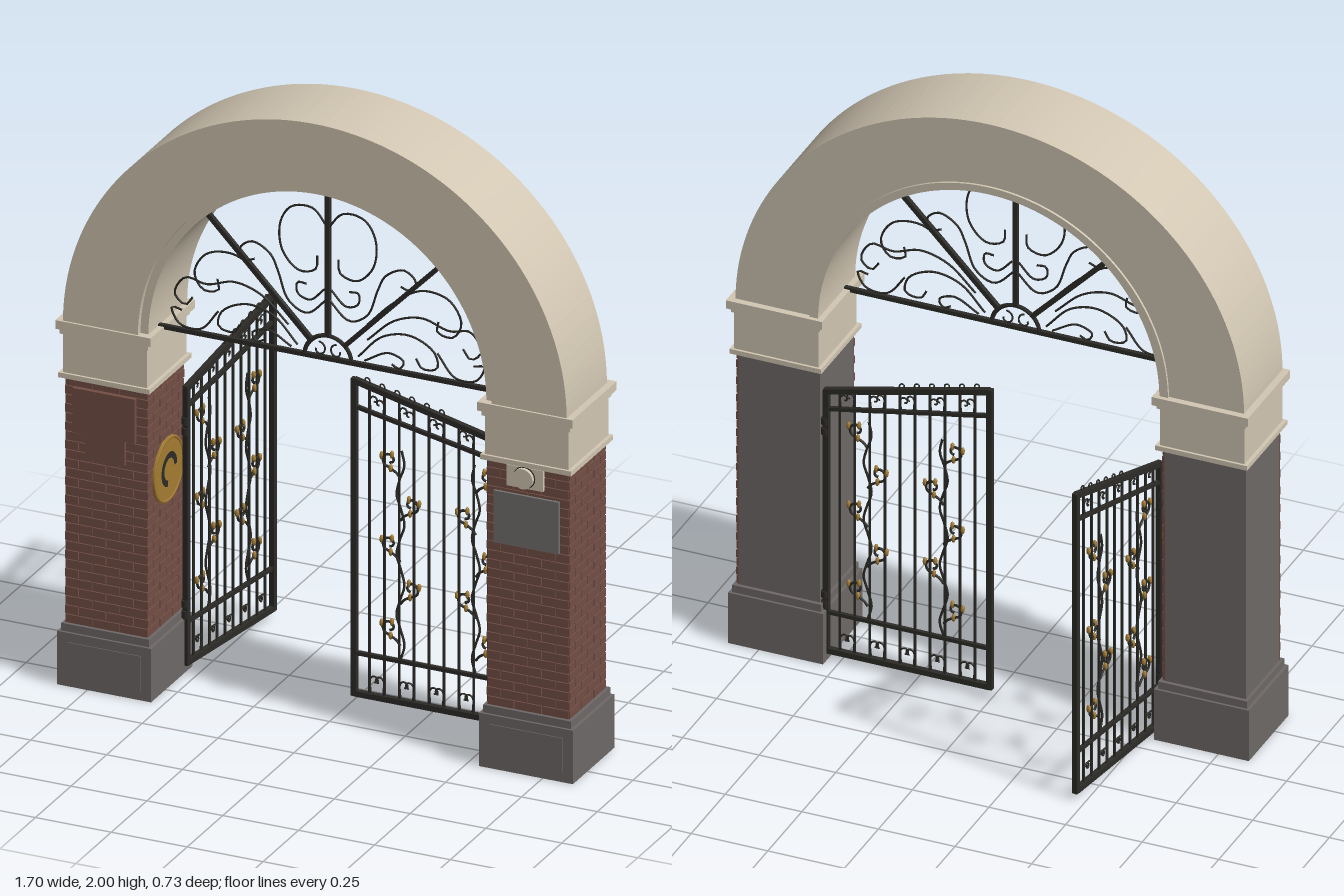
import * as THREE from 'three';

const paint = (name, color, side = THREE.FrontSide) => {
  const m = new THREE.MeshStandardMaterial({ color, side });
  m.name = name;
  return m;
};

export function createModel() {
  const stone = paint('stone', 0xd1c6b2);
  const brick = paint('brick', 0x734f45);
  const granite = paint('granite', 0x6e6967);
  const iron = paint('iron', 0x2c2b27);
  const gold = paint('gold', 0xa37c32);
  const slate = paint('slate', 0x74716f);
  const model = new THREE.Group();
  model.name = 'archedGateway';

  const add = (parent, name, geometry, material) => {
    const mesh = new THREE.Mesh(geometry, material);
    mesh.name = name;
    parent.add(mesh);
    return mesh;
  };
  // Box given by its lower and upper limits on each axis
  const box = (parent, name, mat, x0, x1, y0, y1, z0, z1) => {
    const m = add(parent, name, new THREE.BoxGeometry(x1 - x0, y1 - y0, z1 - z0), mat);
    m.position.set((x0 + x1) / 2, (y0 + y1) / 2, (z0 + z1) / 2);
    return m;
  };
  // Square bar between two points in the xy plane
  const bar = (parent, name, x0, y0, x1, y1, t) => {
    const m = add(parent, name, new THREE.BoxGeometry(Math.hypot(x1 - x0, y1 - y0), t, t), iron);
    m.position.set((x0 + x1) / 2, (y0 + y1) / 2, 0);
    m.rotation.z = Math.atan2(y1 - y0, x1 - x0);
    return m;
  };
  // Bent wire through a few points
  const wire = (parent, name, pts, r = 0.0035, mat = iron) => {
    const curve = new THREE.CatmullRomCurve3(pts.map(([x, y]) => new THREE.Vector3(x, y, 0)));
    return add(parent, name, new THREE.TubeGeometry(curve, pts.length * 4, r, 5), mat);
  };
  // Spiral points, winding inward from radius r
  const spiral = (cx, cy, r, start, turn, n = 9) => Array.from({ length: n }, (_, i) => {
    const t = i / (n - 1), a = start + turn * t, q = r * (1 - 0.65 * t);
    return [cx + q * Math.cos(a), cy + q * Math.sin(a)];
  });

  // Stone arch and its inner lining
  const archBand = (name, ox, oy, ix, iy, z0, z1) => {
    const s = new THREE.Shape();
    s.absellipse(0, 0, ox, oy, 0, Math.PI, false, 0);
    s.lineTo(-ix, 0);
    s.absellipse(0, 0, ix, iy, Math.PI, 0, true, 0);
    s.closePath();
    const g = new THREE.ExtrudeGeometry(s, { depth: z1 - z0, bevelEnabled: false, curveSegments: 48 });
    add(model, name, g, stone).position.set(0, 1.19, z0);
  };
  archBand('arch', 0.83, 0.81, 0.583, 0.594, 0.07, 0.353);
  archBand('archLining', 0.585, 0.596, 0.557, 0.572, 0.062, 0.335);

  // Pillars
  for (const s of [-1, 1]) {
    const p = new THREE.Group();
    p.name = s < 0 ? 'rightPillar' : 'leftPillar';
    p.position.set(s * 0.695, 0, 0);
    model.add(p);
    box(p, 'base', granite, -0.155, 0.155, 0, 0.175, 0.06, 0.352);
    box(p, 'baseLedge', granite, -0.145, 0.145, 0.175, 0.2, 0.068, 0.344);
    box(p, 'basePanel', granite, -0.12, 0.12, 0.03, 0.145, 0.35, 0.355);
    box(p, 'shaft', granite, -0.136, 0.13, 0.2, 1.01, 0.08, 0.328);
    box(p, 'frontBrickwork', brick, -0.136, 0.132, 0.2, 1.01, 0.326, 0.332);
    box(p, 'sideBrickwork', brick, 0.128, 0.132, 0.2, 1.01, 0.08, 0.331);
    // Raised bricks in running bond on the front and one side
    const rows = 27, h = 0.81 / rows;
    for (let r = 0; r < rows; r++) {
      const y0 = 0.2 + r * h + 0.002, y1 = y0 + h - 0.004;
      const courses = [['frontBrick', -0.136, 0.136], ['sideBrick', 0.08, 0.336]];
      for (const [name, lo, hi] of courses) {
        const w = (hi - lo) / 3;
        for (let k = 0; k < 4; k++) {
          const a = Math.max(lo, lo + (k - (r % 2) / 2) * w + 0.002);
          const b = Math.min(hi, lo + (k + 1 - (r % 2) / 2) * w - 0.002);
          if (b - a < 0.01) continue;
          if (name === 'frontBrick') box(p, name, brick, a, b, y0, y1, 0.33, 0.337);
          else box(p, name, brick, 0.13, 0.137, y0, y1, a, b);
        }
      }
    }
    // Stone capital
    box(p, 'capital', stone, -0.138, 0.138, 1.02, 1.17, 0.066, 0.346);
    box(p, 'capitalFoot', stone, -0.15, 0.15, 1.008, 1.024, 0.058, 0.354);
    box(p, 'capitalNeck', stone, -0.146, 0.146, 1.152, 1.168, 0.06, 0.354);
    box(p, 'capitalTop', stone, -0.157, 0.157, 1.168, 1.196, 0.048, 0.36);
  }

  // Plaques on one pillar, sign and lamp on the other
  box(model, 'upperPlaque', brick, -0.8, -0.595, 0.835, 0.98, 0.335, 0.35);
  box(model, 'lowerPlaque', brick, -0.76, -0.63, 0.755, 0.834, 0.335, 0.347);
  box(model, 'sign', slate, 0.585, 0.8, 0.74, 0.91, 0.335, 0.346);
  box(model, 'lampPlate', stone, 0.63, 0.75, 0.937, 1.005, 0.335, 0.35);
  const lamp = add(model, 'lamp', new THREE.CylinderGeometry(0.033, 0.033, 0.02, 24), stone);
  lamp.rotation.x = Math.PI / 2;
  lamp.position.set(0.69, 0.974, 0.356);
  add(model, 'lampRing', new THREE.TorusGeometry(0.033, 0.003, 6, 24), iron).position.set(0.69, 0.974, 0.352);

  // Round medallion on the inner side of one pillar
  const medal = new THREE.Group();
  medal.name = 'medallion';
  medal.position.set(-0.557, 0.7, 0.2);
  medal.rotation.y = Math.PI / 2;
  model.add(medal);
  const disc = add(medal, 'disc', new THREE.CylinderGeometry(0.105, 0.105, 0.008, 32), gold);
  disc.rotation.x = Math.PI / 2;
  add(medal, 'rim', new THREE.TorusGeometry(0.1, 0.005, 6, 32), gold).position.z = 0.003;
  add(medal, 'relief', new THREE.RingGeometry(0.035, 0.055, 24, 1, 0, 4.5), iron).position.z = 0.006;

  // Fanlight
  const fan = new THREE.Group();
  fan.name = 'fanlight';
  fan.position.set(0, 1.19, 0.26);
  model.add(fan);
  bar(fan, 'sill', -0.56, 0.005, 0.56, 0.005, 0.014);
  add(fan, 'hub', new THREE.TorusGeometry(0.078, 0.007, 6, 24, Math.PI), iron);
  bar(fan, 'spoke', 0, 0.08, 0, 0.575, 0.015);
  const fanWires = [
    [[0, 0.43], [0.05, 0.487], [0.12, 0.48], [0.157, 0.42], [0.15, 0.33], [0.095, 0.275], [0.04, 0.29], [0.035, 0.335]],
    [[0, 0.2], [0.07, 0.14], [0.13, 0.17], [0.165, 0.26], [0.19, 0.31], [0.25, 0.34], [0.29, 0.31], [0.275, 0.275], [0.24, 0.285]],
    [[0.01, 0.23], [0.06, 0.185], [0.1, 0.2], [0.1, 0.235], [0.07, 0.235]],
    [[0.13, 0.14], [0.22, 0.23], [0.31, 0.285], [0.4, 0.27], [0.44, 0.2], [0.41, 0.15], [0.36, 0.16], [0.365, 0.195]],
    [[0.13, 0.09], [0.22, 0.17], [0.31, 0.195], [0.4, 0.17], [0.47, 0.18], [0.505, 0.12], [0.47, 0.09], [0.445, 0.12]],
    [[0.1, 0.03], [0.18, 0.11], [0.27, 0.13], [0.35, 0.09], [0.36, 0.04], [0.31, 0.03], [0.29, 0.06]],
    [[0.36, 0.09], [0.42, 0.02], [0.49, 0.025], [0.515, 0.075], [0.48, 0.07]],
    [[0.12, 0.02], [0.2, 0.06], [0.25, 0.04], [0.235, 0.015], [0.21, 0.025]],
  ];
  for (const s of [-1, 1]) {
    bar(fan, 'spoke', s * 0.055, 0.055, s * 0.4, 0.408, 0.015);
    fanWires.forEach((pts) => wire(fan, 'fanScroll', pts.map(([x, y]) => [s * x, y]), 0.0035));
    wire(fan, 'hubScroll', spiral(s * 0.03, 0.03, 0.025, Math.PI / 2, s * 5), 0.003);
  }

  // One gate leaf of width W, running from the hinge along local +x
  const leaf = (name, W) => {
    const top = (u) => 0.93 + 0.128 * u / W;
    const lower = (u) => 0.868 + 0.105 * u / W;
    const g = new THREE.Group();
    g.name = name;
    bar(g, 'hingeStile', 0.006, 0.025, 0.006, 0.935, 0.018);
    bar(g, 'meetingStile', W, 0.025, W, 1.065, 0.018);
    bar(g, 'topRail', 0, top(0), W, top(W), 0.018);
    bar(g, 'upperRail', 0, lower(0), W, lower(W), 0.012);
    bar(g, 'lowerRail', 0, 0.165, W, 0.165, 0.012);
    bar(g, 'bottomRail', 0, 0.033, W, 0.033, 0.018);
    for (let i = 1; i <= 10; i++) {
      const u = i * W / 11;
      bar(g, 'bar', u, 0.03, u, top(u), 0.0065);
      // Small scrolls in the bottom and top bands
      const d = i % 2 ? 1 : -1;
      const a = d > 0 ? Math.PI : 0;
      wire(g, 'bottomScroll', [[u + d * 0.004, 0.045], ...spiral(u + d * 0.018, 0.085, 0.016, a, -d * 5)], 0.003);
      wire(g, 'topScroll', [[u + d * 0.004, lower(u) + 0.008],
        ...spiral(u + d * 0.016, lower(u) + 0.04, 0.014, a, -d * 5)], 0.003);
      if (i > 4) wire(g, 'crestCurl', [[u, top(u)], ...spiral(u + 0.009, top(u) + 0.018, 0.01, Math.PI, -4.2)], 0.0025);
    }
    // Climbing vines with curled tendrils and gilded leaves
    [[0.72, -1], [0.26, 1]].forEach(([f, flip]) => {
      const u = f * W;
      const stem = Array.from({ length: 15 }, (_, i) => [u + flip * 0.013 * Math.sin(i * 1.55), 0.17 + i * 0.049]);
      wire(g, 'vineStem', stem, 0.004);
      for (let k = 0; k < 5; k++) {
        const s = (k % 2 ? -1 : 1) * -flip, y = 0.27 + k * 0.137;
        const cx = u + s * 0.036;
        wire(g, 'tendril', [[u, y - 0.055], [u + s * 0.012, y - 0.04],
          ...spiral(cx, y, 0.026, -Math.PI / 2, s * 6.2)], 0.0042);
        for (const [dx, dy] of [[0.026, 0.01], [-0.004, -0.027], [-0.008, 0.018]]) {
          const l = add(g, 'gildedLeaf', new THREE.SphereGeometry(0.011, 8, 6), gold);
          l.position.set(cx + s * dx, y + dy, 0);
          l.scale.set(0.6, 1.2, 0.7);
        }
      }
    });
    // Hinges
    for (const y of [0.21, 0.81]) {
      for (const dy of [-0.017, 0.017]) {
        add(g, 'hinge', new THREE.CylinderGeometry(0.014, 0.014, 0.022, 12), iron).position.set(0.003, y + dy, 0);
      }
    }
    model.add(g);
    return g;
  };
  const closed = leaf('closedGate', 0.54);
  closed.position.set(0.55, 0, 0.095);
  closed.rotation.y = Math.PI;
  const open = leaf('openGate', 0.475);
  open.position.set(-0.538, 0, 0.115);
  open.rotation.y = 1.427;

  return model;
}
